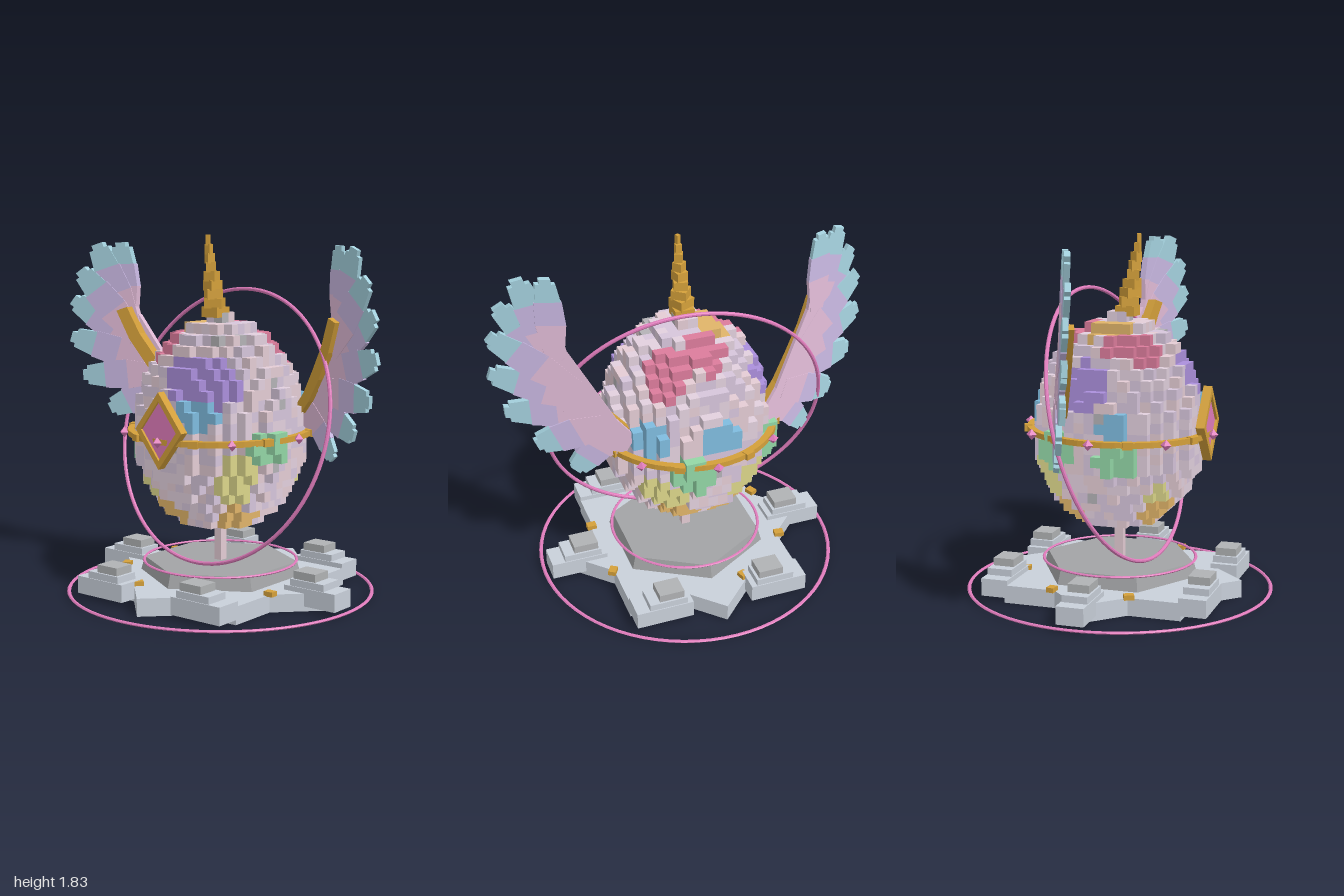
import * as THREE from 'three';
import { mergeGeometries } from 'three/addons/utils/BufferGeometryUtils.js';

const COLORS = {
  shell: 0xe2d0de, shell2: 0xd6c5db, shell3: 0xe4ccd4, grey: 0xb4b2b6,
  red: 0xdc7c9c, purple: 0xab8fdc, blue: 0x7fbcdf, green: 0x93d6a6, yellow: 0xdcd68a, orange: 0xe0b469,
  gold: 0xd4a03a, pink: 0xe07cbc, feather: 0xe2bcd8, lavender: 0xc9b8e2, tip: 0xa6d3e0,
  stoneLight: 0xc9d0da, stone: 0xb0b2b4, stoneDark: 0xa2a3a5,
};
const mats = {};
const mat = (key) => (mats[key] ??= new THREE.MeshStandardMaterial({ color: COLORS[key], flatShading: true }));

function add(parent, name, geometry, key, x = 0, y = 0, z = 0) {
  const mesh = new THREE.Mesh(geometry, mat(key));
  mesh.name = name;
  mesh.position.set(x, y, z);
  parent.add(mesh);
  return mesh;
}

function extrude(points, depth, hole) {
  const toShape = (C, pts) => new C(pts.map(([x, y]) => new THREE.Vector2(x, y)));
  const shape = toShape(THREE.Shape, points);
  if (hole) shape.holes.push(toShape(THREE.Path, hole));
  return new THREE.ExtrudeGeometry(shape, { depth, bevelEnabled: false });
}

// Eight-pointed star plinth, stepped rocks, gold shards and rings
function buildBase() {
  const base = new THREE.Group();
  base.name = 'base';
  const star = [];
  for (let i = 0; i < 16; i++) {
    const a = (i * Math.PI) / 8, r = i % 2 ? 0.498 : 0.65;
    star.push([r * Math.cos(a), r * Math.sin(a)]);
  }
  add(base, 'starPlinth', extrude(star, 0.09).rotateX(-Math.PI / 2), 'stoneLight');
  add(base, 'platform', new THREE.CylinderGeometry(0.4, 0.42, 0.07, 6), 'stoneDark', 0, 0.125, 0);
  for (let i = 0; i < 6; i++) {
    const a = (i * Math.PI) / 3, x = 0.6 * Math.cos(a), z = 0.515 * Math.sin(a) / Math.sin(Math.PI / 3);
    const s = Math.sign(x);
    add(base, 'rockLow', new THREE.BoxGeometry(0.3, 0.09, 0.14), 'stoneLight', x + s * 0.01, 0.07, z);
    add(base, 'rockMiddle', new THREE.BoxGeometry(0.2, 0.06, 0.13), 'stoneLight', x - s * 0.01, 0.12, z);
    add(base, 'rockTop', new THREE.BoxGeometry(0.13, 0.07, 0.11), 'stone', x - s * 0.03, 0.155, z);
  }
  const shards = [[0.47, 0.2], [0.47, -0.2], [-0.47, 0.2], [-0.47, -0.2], [-0.16, 0.46], [-0.16, -0.46]];
  shards.forEach(([x, z], i) => {
    add(base, 'goldShard', new THREE.BoxGeometry(0.05, 0.025, 0.04), 'gold', x, 0.1, z).rotation.y = i;
  });
  const ring = (name, r, tube, y) =>
    add(base, name, new THREE.TorusGeometry(r, tube, 6, 72).rotateX(Math.PI / 2).scale(1, 0.7, 1), 'pink', 0, y, 0);
  ring('groundRing', 0.785, 0.01, 0.012);
  ring('platformRing', 0.395, 0.008, 0.163);
  add(base, 'post', new THREE.BoxGeometry(0.045, 0.24, 0.045), 'shell3', 0, 0.27, 0);
  return base;
}

// Coloured patches on the egg: colour, centre x y z, reach
const SPOTS = [
  ['red', -0.2, 1.28, 0.2, 0.1], ['purple', 0.06, 1.14, 0.32, 0.12], ['purple', 0.2, 1.12, 0.28, 0.12],
  ['blue', 0.16, 0.97, 0.38, 0.1], ['blue', -0.38, 0.9, 0.1, 0.08], ['green', -0.41, 0.77, 0.12, 0.1],
  ['yellow', 0.3, 0.64, 0.25, 0.12], ['yellow', -0.22, 0.55, 0.25, 0.07], ['orange', -0.14, 0.43, 0.25, 0.12],
  ['orange', 0.2, 0.4, 0.13, 0.12], ['green', 0.4, 0.8, 0.14, 0.1], ['red', 0.2, 1.27, -0.22, 0.13],
  ['blue', 0.28, 0.95, -0.28, 0.1], ['green', 0.12, 0.78, -0.42, 0.1], ['yellow', 0.22, 0.6, -0.28, 0.12],
  ['orange', 0.12, 0.42, -0.2, 0.12], ['purple', -0.33, 1.1, -0.08, 0.13], ['blue', -0.05, 0.95, -0.4, 0.1],
  ['orange', -0.12, 1.36, -0.02, 0.11], ['red', -0.02, 1.34, -0.2, 0.12], ['yellow', -0.2, 0.62, -0.3, 0.12],
  ['orange', -0.16, 0.43, -0.18, 0.1], ['red', -0.22, 1.3, 0.06, 0.08], ['green', -0.36, 0.78, -0.2, 0.1],
];

// Egg made of cubes on a grid, keeping only the outer shell
function buildEgg() {
  const egg = new THREE.Group();
  egg.name = 'egg';
  const s = 0.0512, y0 = 0.367;
  const hash = (i, j, k) => {
    const v = Math.sin(i * 12.99 + j * 78.23 + k * 37.72) * 43758.55;
    return v - Math.floor(v);
  };
  const centre = (i, j, k) => [(i + 0.5) * s, y0 + (j + 0.5) * s, (k + 0.5) * s];
  const spotAt = (x, y, z) => SPOTS.find(([, a, b, c, r]) => Math.hypot(x - a, y - b, z - c) < r);
  const inside = (i, j, k) => {
    if (j < 0 || j > 20) return false;
    const [x, y, z] = centre(i, j, k);
    const t = (y - 0.82) / (y > 0.82 ? 0.6 : 0.49);
    const raised = spotAt(x, y, z)?.[0] === 'green' ? 1.09 : 1;
    return Math.hypot(x, z) < 0.42 * raised * Math.sqrt(Math.max(0, 1 - t * t));
  };
  const cubes = {};
  for (let j = 0; j <= 20; j++) for (let i = -10; i < 10; i++) for (let k = -10; k < 10; k++) {
    if (!inside(i, j, k)) continue;
    const buried = inside(i + 1, j, k) && inside(i - 1, j, k) && inside(i, j + 1, k) &&
      inside(i, j - 1, k) && inside(i, j, k + 1) && inside(i, j, k - 1);
    if (buried) continue;
    const p = centre(i, j, k), h = hash(i, j, k);
    const plain = h < 0.03 ? 'grey' : h < 0.4 ? 'shell2' : h < 0.7 ? 'shell3' : 'shell';
    const key = spotAt(...p)?.[0] ?? plain;
    (cubes[key] ??= []).push(new THREE.BoxGeometry(s, s, s).translate(...p));
  }
  for (const key in cubes) add(egg, key + 'EggCubes', mergeGeometries(cubes[key]), key);
  return egg;
}

// Twisted stepped horn leaning forward
function buildHorn() {
  const horn = new THREE.Group();
  horn.name = 'horn';
  const n = 9;
  for (let i = 0; i < n; i++) {
    const t = i / (n - 1), w = 0.1 - 0.08 * t;
    const block = add(horn, 'hornBlock', new THREE.BoxGeometry(w, 0.052, w), 'gold', 0, 1.445 + 0.36 * t, 0.04 + 0.06 * t);
    block.rotation.y = i * 0.45;
  }
  return horn;
}

// Gold belt with gems, studs and the diamond pendant
function buildBelt() {
  const belt = new THREE.Group();
  belt.name = 'belt';
  const profile = [[0.44, -0.014], [0.475, -0.014], [0.475, 0.014], [0.44, 0.014], [0.44, -0.014]];
  add(belt, 'beltBand', new THREE.LatheGeometry(profile.map(([x, y]) => new THREE.Vector2(x, y)), 48), 'gold');
  for (let i = 0; i < 8; i++) {
    const a = (i * Math.PI) / 4;
    add(belt, 'beltGem', new THREE.OctahedronGeometry(0.028), 'pink', 0.492 * Math.cos(a), 0, 0.492 * Math.sin(a));
    const b = a + Math.PI / 8;
    const stud = add(belt, 'beltStud', new THREE.BoxGeometry(0.04, 0.035, 0.05), 'gold', 0.468 * Math.cos(b), 0, 0.468 * Math.sin(b));
    stud.rotation.y = -b;
  }
  belt.position.y = 0.842;
  belt.rotation.x = 0.016;
  return belt;
}

function buildPendant() {
  const pendant = new THREE.Group();
  pendant.name = 'pendant';
  const rhombus = (w, h) => [[w, 0], [0, h], [-w, 0], [0, -h]];
  add(pendant, 'pendantFrame', extrude(rhombus(0.147, 0.19), 0.045, rhombus(0.112, 0.146)), 'gold');
  add(pendant, 'pendantGem', extrude(rhombus(0.115, 0.15), 0.028), 'pink', 0, 0, 0.004);
  pendant.position.set(0, 0.89, 0.44);
  return pendant;
}

// Wing fan: start x y and tip x y of each feather, from top to bottom
const FEATHERS = [
  [0.68, 1.38, 0.7, 1.78], [0.66, 1.33, 0.82, 1.77], [0.63, 1.27, 0.91, 1.63], [0.6, 1.21, 0.96, 1.47],
  [0.56, 1.14, 0.975, 1.27], [0.52, 1.08, 0.92, 1.06], [0.47, 1.02, 0.79, 0.88], [0.43, 0.98, 0.62, 0.74],
];
const wingZ = (x, y) => -0.21 + 0.43 * (Math.abs(x) - 0.36) + 0.05 * (y - 1.1);

// Lay a flat geometry on the slanted wing plane
function layOnWing(geometry, offset) {
  const p = geometry.attributes.position;
  for (let i = 0; i < p.count; i++) p.setZ(i, p.getZ(i) + offset + wingZ(p.getX(i), p.getY(i)));
  geometry.computeVertexNormals();
  return geometry;
}

function buildWing(side) {
  const wing = new THREE.Group();
  wing.name = side > 0 ? 'leftWing' : 'rightWing';
  // Sections along a feather: from, to, half width at each end, colour
  const sections = [
    [0, 0.42, 0.05, 0.08, 'feather'], [0.42, 0.72, 0.08, 0.073, 'lavender'],
    [0.72, 0.95, 0.068, 0.052, 'tip'], [0.95, 1.01, 0.03, 0.03, 'tip'],
  ];
  FEATHERS.forEach(([x0, y0, x1, y1], i) => {
    const dx = x1 - x0, dy = y1 - y0, len = Math.hypot(dx, dy);
    const k = i === 0 || i === 7 ? 0.85 : 1;
    const at = (t, w) => [side * (x0 + dx * t - (dy / len) * w * k), y0 + dy * t + (dx / len) * w * k];
    for (const [a, b, wa, wb, key] of sections) {
      const quad = [at(a, -wa), at(b, -wb), at(b, wb), at(a, wa)];
      add(wing, 'feather', layOnWing(extrude(quad, 0.03), -0.015 + 0.003 * (i % 3)), key);
    }
  });
  // Body of the wing joining the feathers to the egg
  const body = [[0.34, 0.95], [0.42, 1.04], [0.62, 1.4], [0.7, 1.3], [0.66, 1.08], [0.56, 0.9], [0.46, 0.83], [0.38, 0.87]];
  add(wing, 'wingBody', layOnWing(extrude(body.map(([x, y]) => [side * x, y]), 0.026), -0.013), 'feather');
  // Curved gold arm along the leading edge
  const arm = [[0.36, 0.98], [0.43, 1.05], [0.51, 1.17], [0.59, 1.3], [0.65, 1.44], [0.705, 1.42],
    [0.645, 1.27], [0.56, 1.13], [0.47, 1.01], [0.4, 0.94]];
  add(wing, 'wingArm', layOnWing(extrude(arm.map(([x, y]) => [side * x, y]), 0.05), 0.01), 'gold');
  return wing;
}

// Large tilted ring around the egg
function buildOrbit() {
  const orbit = new THREE.Mesh(new THREE.TorusGeometry(0.714, 0.01, 8, 96), mat('pink'));
  orbit.name = 'orbitRing';
  const u = new THREE.Vector3(0.715, 0, 0.08).normalize();
  const v = new THREE.Vector3(0.022, 0.695, -0.2).normalize();
  orbit.quaternion.setFromRotationMatrix(new THREE.Matrix4().makeBasis(u, v, u.clone().cross(v)));
  orbit.position.y = 0.866;
  return orbit;
}

export function createModel() {
  const model = new THREE.Group();
  model.name = 'wingedEgg';
  model.add(buildBase(), buildEgg(), buildHorn(), buildBelt(), buildPendant(), buildWing(1), buildWing(-1), buildOrbit());
  return model;
}
